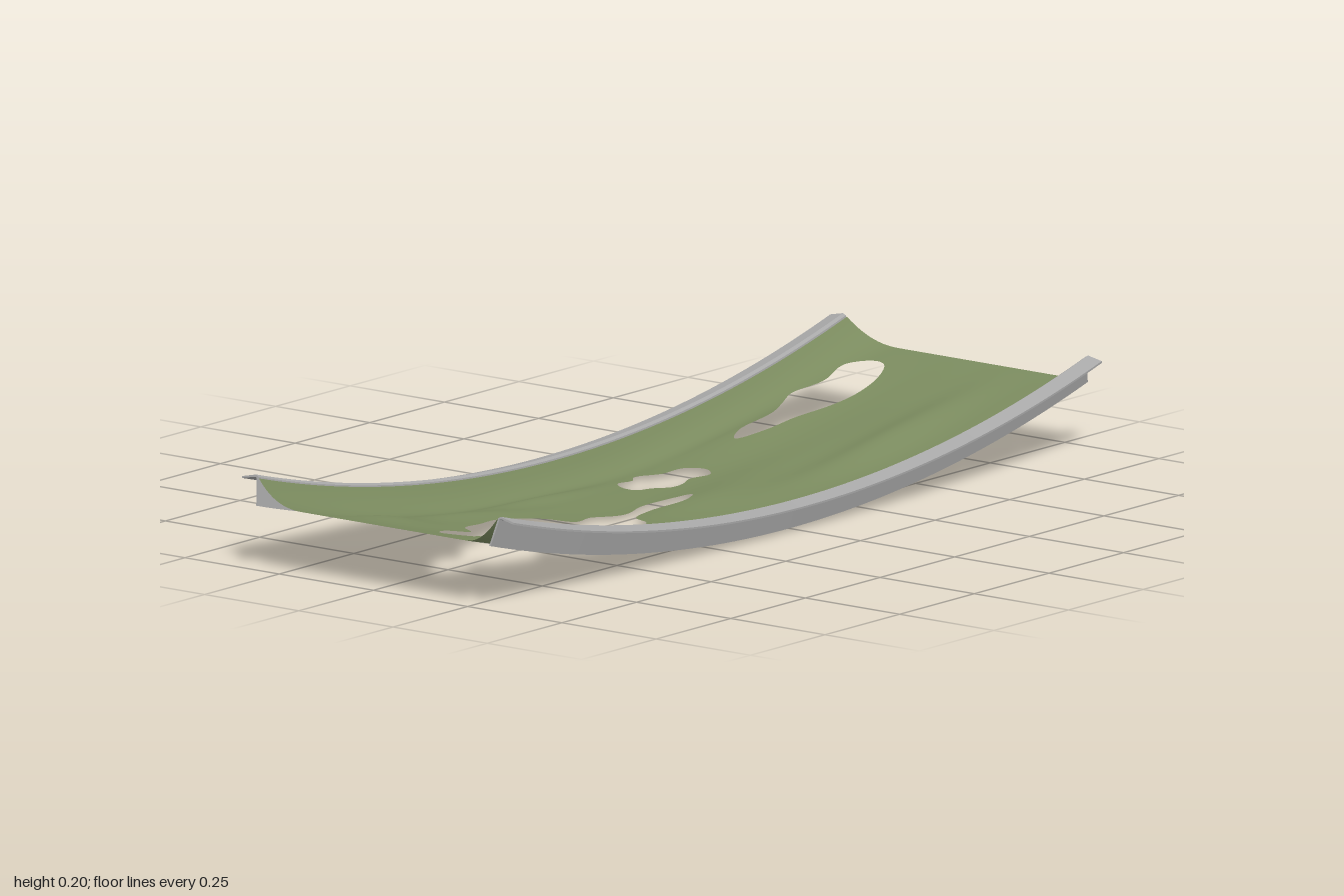
import * as THREE from 'three';
import { mergeVertices, toCreasedNormals } from 'three/addons/utils/BufferGeometryUtils.js';

const R = 3.718; // bend radius of the whole panel
const A = Math.asin(1 / R); // half angle

// Bend a point: a = angle along the arc, h = height above the outer arc
const bend = (a, h, z) => [(R - h) * Math.sin(a), R - (R - h) * Math.cos(a), z];

// Torn holes as x, z outlines
const holes = [
  [-0.83, 0.055, -0.78, 0, -0.72, -0.025, -0.655, -0.015, -0.62, -0.06, -0.53, -0.09, -0.45, -0.115,
    -0.37, -0.115, -0.31, -0.09, -0.28, -0.035, -0.21, -0.05, -0.14, -0.015, -0.05, -0.04, 0.03, -0.03,
    0.08, -0.01, 0.02, 0.02, -0.08, 0.01, -0.16, 0.03, -0.185, 0.08, -0.265, 0.1, -0.355, 0.11,
    -0.425, 0.135, -0.46, 0.1, -0.515, 0.067, -0.57, 0.105, -0.655, 0.095, -0.72, 0.06, -0.78, 0.085],
  [0.056, -0.175, 0.083, -0.21, 0.12, -0.2, 0.152, -0.22, 0.2, -0.185, 0.254, -0.175, 0.28, -0.13,
    0.254, -0.1, 0.206, -0.115, 0.163, -0.1, 0.125, -0.1, 0.094, -0.125, 0.056, -0.14],
  [0.452, -0.19, 0.51, -0.22, 0.607, -0.217, 0.67, -0.238, 0.725, -0.254, 0.805, -0.233, 0.885, -0.243,
    0.925, -0.21, 0.925, -0.17, 0.87, -0.14, 0.78, -0.13, 0.7, -0.14, 0.62, -0.158, 0.52, -0.168],
].map((o) => {
  const pts = [];
  for (let i = 0; i < o.length; i += 2) pts.push(new THREE.Vector3(o[i], o[i + 1], 0));
  return new THREE.CatmullRomCurve3(pts, true).getPoints(pts.length * 4);
});

// Signed distance to the nearest tear, negative inside
function tearDistance(x, z) {
  let best = Infinity, inside = false;
  for (const p of holes) {
    for (let i = 0; i < p.length - 1; i++) {
      const a = p[i], b = p[i + 1], dx = b.x - a.x, dz = b.y - a.y;
      const t = THREE.MathUtils.clamp(((x - a.x) * dx + (z - a.y) * dz) / (dx * dx + dz * dz || 1), 0, 1);
      best = Math.min(best, Math.hypot(x - a.x - t * dx, z - a.y - t * dz));
      if ((a.y > z) !== (b.y > z) && x < a.x + ((z - a.y) * dx) / dz) inside = !inside;
    }
  }
  return inside ? -best : best;
}

// Wrinkles: x, z, x radius, z radius, height
const wrinkles = [
  [0.6, 0.11, 0.35, 0.05, 0.018], [-0.8, -0.13, 0.12, 0.06, 0.016], [-0.45, -0.17, 0.2, 0.04, 0.012],
  [-0.2, -0.22, 0.2, 0.03, 0.012], [-0.65, 0.2, 0.22, 0.03, 0.014], [-0.25, 0.21, 0.15, 0.03, 0.01],
  [0.05, 0.03, 0.2, 0.06, 0.01], [0.65, -0.2, 0.3, 0.07, 0.01], [0.3, -0.02, 0.2, 0.06, 0.006],
];

function sheetHeight(x, z) {
  const width = z < 0 ? 0.08 + 0.05 * x * x : 0.075;
  const rise = Math.max(0, 1 - (0.316 - Math.abs(z)) / width);
  const calm = (1 - rise) * (1 - Math.pow(Math.abs(x), 8));
  let h = 0.003 * (1 + Math.sin(7 * x + 9 * z) * Math.sin(17 * z - 5 * x + 1));
  for (const [cx, cz, rx, rz, k] of wrinkles) {
    h += k * Math.exp(-(((x - cx) / rx) ** 2) - ((z - cz) / rz) ** 2);
  }
  return 0.003 + calm * h + 0.054 * Math.pow(rise, 2.4);
}

// Sheet: a fine grid with every triangle clipped against the tears
function sheetGeometry() {
  const nx = 180, nz = 70, grid = [], out = [];
  for (let i = 0; i <= nx; i++) {
    for (let j = 0; j <= nz; j++) {
      const x = -1 + (2 * i) / nx, z = 0.316 * (-1 + (2 * j) / nz);
      grid.push({ x, z, d: tearDistance(x, z) });
    }
  }
  const emit = (v) => out.push(...bend(Math.asin(v.x / R), sheetHeight(v.x, v.z), v.z));
  const clip = (tri) => {
    const poly = [];
    tri.forEach((a, k) => {
      const b = tri[(k + 1) % 3];
      if (a.d >= 0) poly.push(a);
      if ((a.d >= 0) !== (b.d >= 0)) {
        const t = a.d / (a.d - b.d);
        poly.push({ x: a.x + t * (b.x - a.x), z: a.z + t * (b.z - a.z) });
      }
    });
    for (let k = 1; k + 1 < poly.length; k++) [poly[0], poly[k], poly[k + 1]].forEach(emit);
  };
  for (let i = 0; i < nx; i++) {
    for (let j = 0; j < nz; j++) {
      const a = grid[i * (nz + 1) + j], b = grid[i * (nz + 1) + j + 1];
      const c = grid[(i + 1) * (nz + 1) + j + 1], d = grid[(i + 1) * (nz + 1) + j];
      clip([a, b, c]);
      clip([a, c, d]);
    }
  }
  const geo = new THREE.BufferGeometry();
  geo.setAttribute('position', new THREE.Float32BufferAttribute(out, 3));
  const merged = mergeVertices(geo, 1e-5);
  merged.computeVertexNormals();
  return merged;
}

// Rail: a thin bent-angle section extruded straight, then curved
function railGeometry(side) {
  const section = [[0.307, 0], [0.318, 0.06], [0.325, 0.064], [0.36, 0.056],
    [0.36, 0.052], [0.326, 0.059], [0.322, 0.057], [0.311, 0]];
  const shape = new THREE.Shape(section.map(([z, h]) => new THREE.Vector2(side * z, h)));
  const geo = new THREE.ExtrudeGeometry(shape, { depth: 1, steps: 64, bevelEnabled: false });
  const pos = geo.attributes.position;
  for (let i = 0; i < pos.count; i++) {
    pos.setXYZ(i, ...bend((0.5 - pos.getZ(i)) * 2 * A, pos.getY(i), pos.getX(i)));
  }
  return toCreasedNormals(geo, 0.3);
}

export function createModel() {
  const group = new THREE.Group();
  group.name = 'tornCurvedPanel';
  const green = new THREE.MeshStandardMaterial({ color: 0x7a8a5e, side: THREE.DoubleSide });
  green.name = 'olive green cloth';
  const grey = new THREE.MeshStandardMaterial({ color: 0xa8a8a8 });
  grey.name = 'grey metal';
  const add = (name, geo, mat) => {
    const mesh = new THREE.Mesh(geo, mat);
    mesh.name = name;
    group.add(mesh);
  };
  add('tornSheet', sheetGeometry(), green);
  add('frontRail', railGeometry(1), grey);
  add('backRail', railGeometry(-1), grey);
  return group;
}
